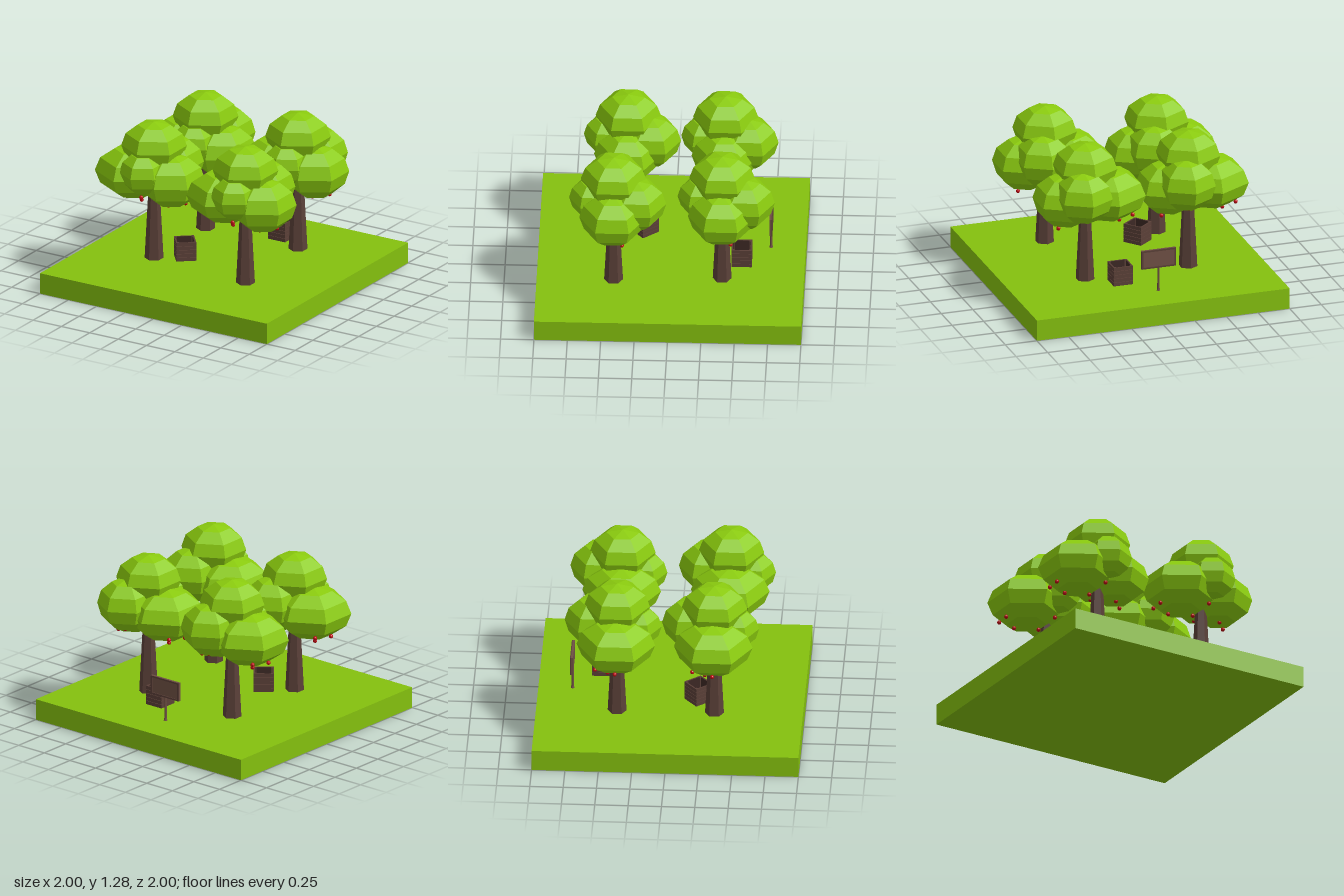
import * as THREE from 'three';

const mat = (color) => new THREE.MeshStandardMaterial({ color, flatShading: true });
const grass = mat(0x84c00e), leaf = mat(0x8bcc0e), bark = mat(0x5a4038);
const red = mat(0xc00812), plank = mat(0x5a3f37), board = mat(0x6f5044), dark = mat(0x3c2824);

function add(parent, name, geometry, material, x = 0, y = 0, z = 0) {
  const mesh = new THREE.Mesh(geometry, material);
  mesh.name = name;
  mesh.position.set(x, y, z);
  parent.add(mesh);
  return mesh;
}

// Foliage clumps: offset x, height, offset z, horizontal radius, vertical radius
const CLUMPS = [
  [0, 1.095, 0, 0.246, 0.19],
  [-0.175, 0.86, 0, 0.295, 0.2],
  [0.155, 0.85, 0, 0.252, 0.205],
  [0, 0.925, 0.155, 0.179, 0.165],
  [0.07, 0.925, -0.175, 0.222, 0.2],
];

// Fruit: offset x, height, offset z
const FRUIT = [
  [-0.355, 0.705, 0.0], [-0.325, 0.725, -0.15], [-0.25, 0.66, -0.06],
  [-0.09, 0.65, 0.03], [-0.02, 0.72, 0.15], [0.06, 0.735, -0.2],
  [0.145, 0.652, 0.03], [0.235, 0.655, -0.07],
];

const clumpGeometry = new THREE.SphereGeometry(1, 6, 6).rotateY(Math.PI / 2);
const fruitGeometry = new THREE.SphereGeometry(0.016, 8, 6);
const trunkGeometry = new THREE.CylinderGeometry(0.04, 0.071, 0.6, 6);

function makeTree(x, z) {
  const tree = new THREE.Group();
  tree.name = 'tree';
  tree.position.set(x, 0, z);
  add(tree, 'trunk', trunkGeometry, bark, 0, 0.495, 0);
  for (const [cx, cy, cz, r, h] of CLUMPS) {
    add(tree, 'foliage', clumpGeometry, leaf, cx, cy, cz).scale.set(r, h, r);
  }
  for (const p of FRUIT) add(tree, 'apple', fruitGeometry, red, ...p);
  return tree;
}

// Open crate: a floor, four walls of slats, and inner corner posts
function makeCrate(x, z, turn) {
  const crate = new THREE.Group();
  crate.name = 'crate';
  crate.position.set(x, 0.19, z);
  crate.rotation.y = turn;
  const size = 0.152, height = 0.15, rows = 5, t = 0.01;
  const pitch = height / rows;
  const slat = new THREE.BoxGeometry(size - t, pitch - 0.003, t);
  const lining = new THREE.BoxGeometry(size - 2 * t, height - 0.006, 0.004);
  const post = new THREE.BoxGeometry(0.012, height - 0.004, 0.012);
  add(crate, 'crateFloor', new THREE.BoxGeometry(size - t, t, size - t), plank, 0, t / 2, 0);
  for (let side = 0; side < 4; side++) {
    const wall = new THREE.Group();
    wall.name = 'crateWall';
    wall.rotation.y = side * Math.PI / 2;
    crate.add(wall);
    for (let i = 0; i < rows; i++) {
      add(wall, 'slat', slat, plank, t / 2, (i + 0.5) * pitch, size / 2 - t / 2);
    }
    add(wall, 'lining', lining, dark, 0, height / 2, size / 2 - t - 0.001);
    add(wall, 'cornerPost', post, plank, size / 2 - t - 0.006, height / 2, size / 2 - t - 0.006);
  }
  return crate;
}

// Sign: post with a small foot, and a board framed on its rear face
function makeSign() {
  const sign = new THREE.Group();
  sign.name = 'sign';
  sign.position.set(-0.05, 0, -0.742);
  const w = 0.272, h = 0.145, y = 0.433, bar = 0.012;
  add(sign, 'signPost', new THREE.CylinderGeometry(0.008, 0.01, 0.2, 8), board, 0, 0.275, 0);
  add(sign, 'postFoot', new THREE.CylinderGeometry(0.009, 0.014, 0.022, 8), board, 0, 0.185, 0);
  add(sign, 'signBoard', new THREE.BoxGeometry(w, h, 0.016), board, 0, y, 0.002);
  for (const s of [-1, 1]) {
    add(sign, 'frameRail', new THREE.BoxGeometry(w, bar, 0.008), plank, 0, y + s * (h - bar) / 2, -0.009);
    add(sign, 'frameStile', new THREE.BoxGeometry(bar, h - 2 * bar, 0.008), plank, s * (w - bar) / 2, y, -0.009);
  }
  return sign;
}

export function createModel() {
  const model = new THREE.Group();
  model.name = 'orchard';
  add(model, 'ground', new THREE.BoxGeometry(2, 0.163, 2), grass, 0, 0.0815, 0);
  for (const [x, z] of [[-0.405, -0.39], [0.41, -0.39], [-0.405, 0.34], [0.452, 0.422]]) {
    model.add(makeTree(x, z));
  }
  model.add(makeCrate(-0.212, 0.21, 0.68), makeCrate(0.18, -0.53, 0), makeSign());
  return model;
}
